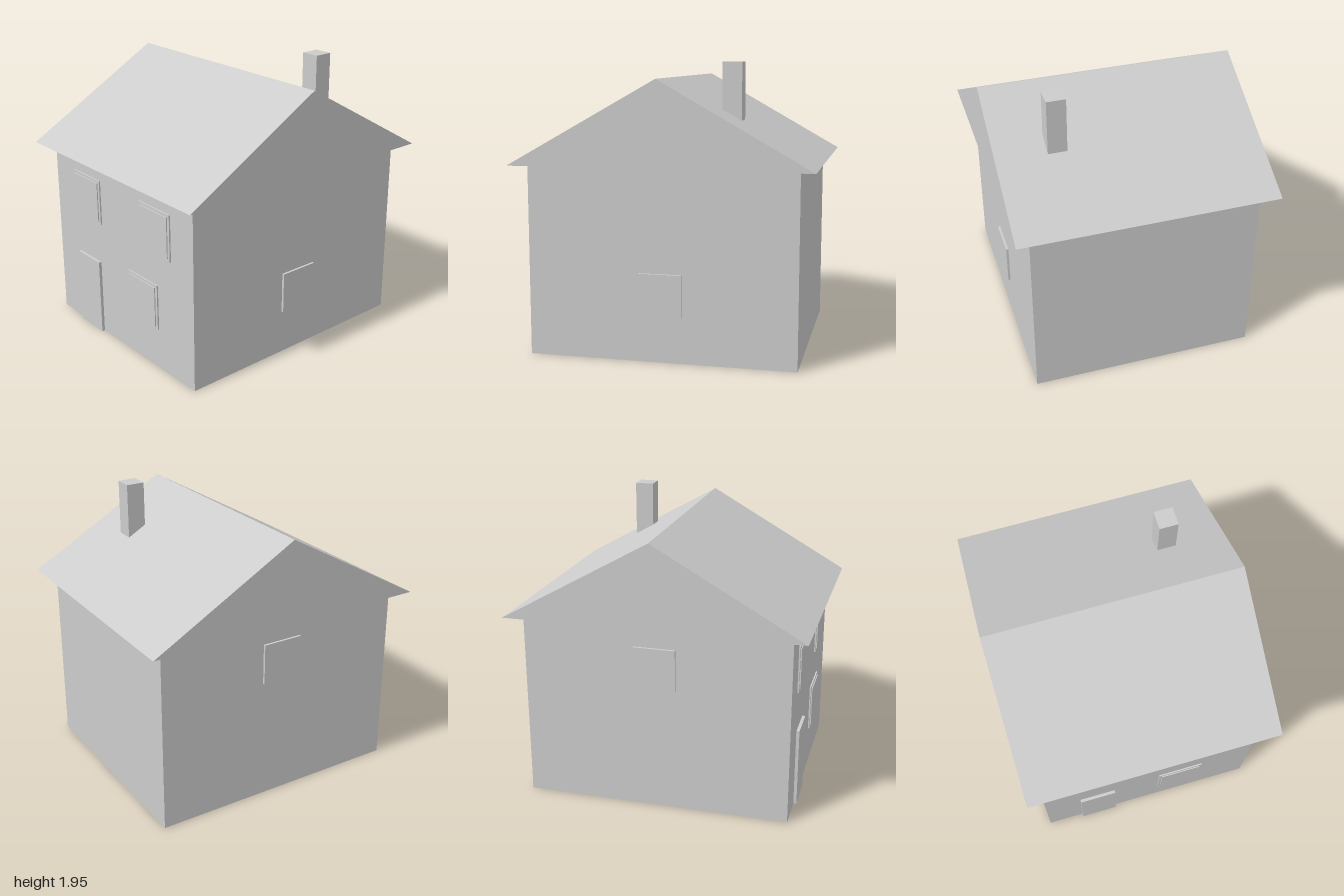
import * as THREE from 'three';

export function createModel() {
  const house = new THREE.Group();
  house.name = 'house';
  const grey = new THREE.MeshStandardMaterial({ color: 0xcccccc });
  grey.name = 'light grey';

  // Box given by its lower and upper corners
  function block(name, [x0, y0, z0], [x1, y1, z1]) {
    const mesh = new THREE.Mesh(new THREE.BoxGeometry(x1 - x0, y1 - y0, z1 - z0), grey);
    mesh.position.set((x0 + x1) / 2, (y0 + y1) / 2, (z0 + z1) / 2);
    mesh.name = name;
    house.add(mesh);
  }

  const W = 0.769, D = 0.897, H = 1.283; // half width, half depth and height of the walls

  block('walls', [-W, 0, -D], [W, H, D]);

  // Gable roof: triangle extruded along x, overhanging on all sides
  const gable = new THREE.Shape([
    new THREE.Vector2(-1, H),
    new THREE.Vector2(1, H),
    new THREE.Vector2(0, 1.847),
  ]);
  const roofGeometry = new THREE.ExtrudeGeometry(gable, { depth: 1.744, bevelEnabled: false });
  roofGeometry.translate(0, 0, -0.872).rotateY(Math.PI / 2);
  const roof = new THREE.Mesh(roofGeometry, grey);
  roof.name = 'roof';
  house.add(roof);

  block('chimney', [0.406, 1.45, -0.486], [0.534, 1.95, -0.358]);
  block('door', [-0.513, 0, D - 0.02], [-0.256, 0.54, 0.918]);

  // Front windows: a frame with a slightly raised pane
  for (const [x, y] of [[-0.385, 0.99], [0.385, 0.99], [0.24, 0.45]]) {
    block('windowFrame', [x - 0.16, y - 0.16, D - 0.02], [x + 0.16, y + 0.16, 0.907]);
    block('windowPane', [x - 0.141, y - 0.141, D - 0.02], [x + 0.141, y + 0.141, 0.914]);
  }

  // Side windows: low on the left wall, high on the right wall
  for (const [side, y] of [[1, 0.45], [-1, 0.99]]) {
    const x = side * 0.767;
    block('sideWindow', [x - 0.018, y - 0.141, -0.141], [x + 0.018, y + 0.141, 0.141]);
  }

  return house;
}
